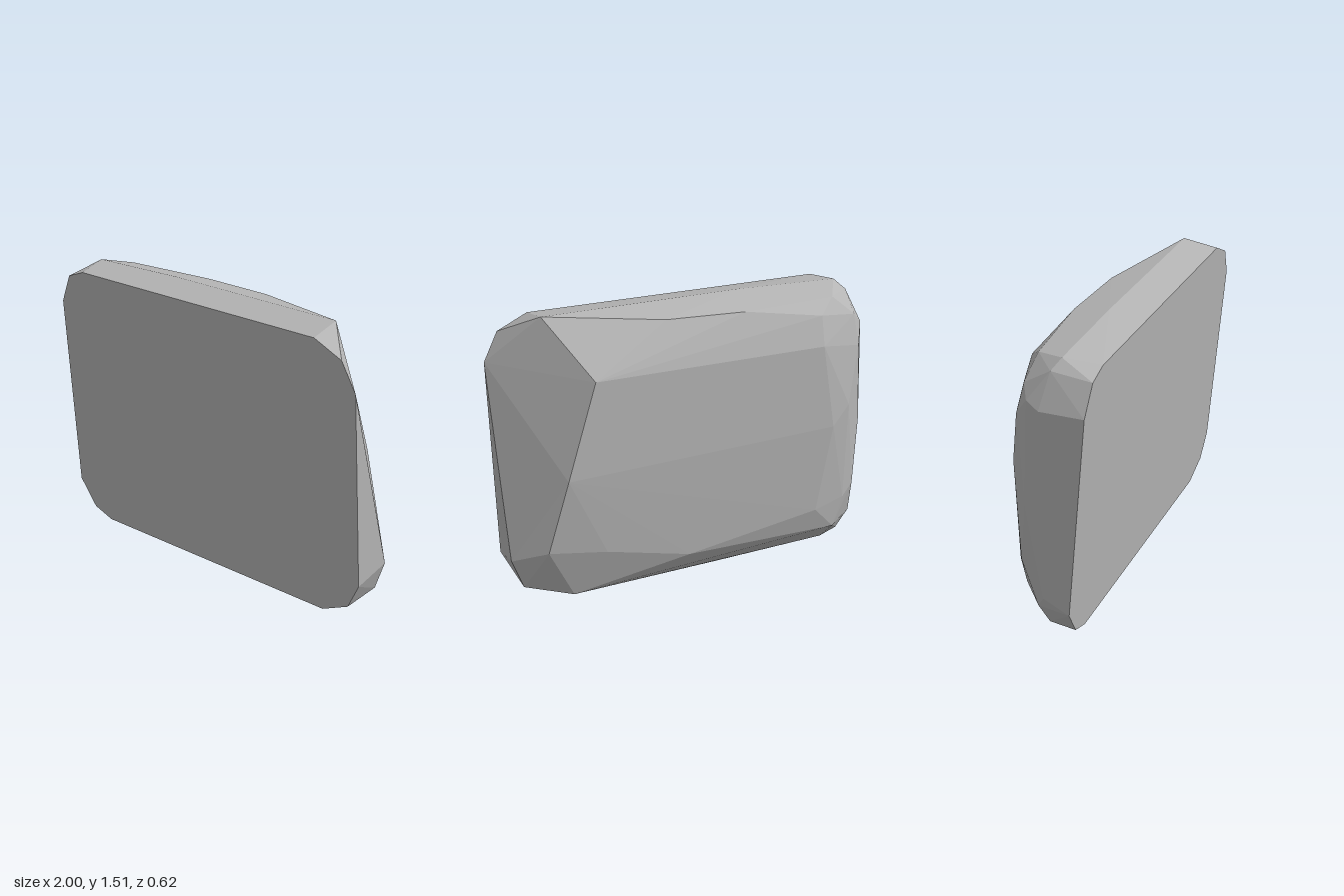
import * as THREE from 'three';
import { ConvexGeometry } from 'three/addons/geometries/ConvexGeometry.js';

const stone = new THREE.MeshStandardMaterial({ color: 0xb4b4b4, flatShading: true });
stone.name = 'stone grey';

// The cut front of the slab is one tilted plane.
const frontZ = (x, y) => 0.115 + 0.0884 * x + 0.083 * y;

// Outline of the flat front, x and y.
const frontOutline = [
  [-1, 0.2], [-0.9, 0.05], [-0.78, 0.005], [0.75, 0.005], [0.91, 0.08], [0.98, 0.22],
  [0.978, 1.25], [0.9, 1.4], [0.74, 1.475], [-0.82, 1.475], [-0.93, 1.435], [-1, 1.28],
];

// Crown: ridge along the top and the slope behind it.
const crown = [
  [0.74, 1.51, 0.12], [-0.3, 1.515, 0.03], [-0.85, 1.5, -0.02],
  [0.17, 1.475, -0.11], [-0.24, 1.467, -0.17], [-0.75, 1.465, -0.17],
  [-0.9, 1.45, -0.06], [-0.65, 1.4, -0.24],
];

// Chipped side at the model's left.
const chippedSide = [
  [0.59, 1.25, -0.187], [0.75, 0.75, -0.19], [0.85, 0.35, -0.14],
  [0.998, 0.27, 0.01], [0.94, 0.11, 0], [0.85, 0.025, 0.1],
];

// Rounded side at the model's right, narrowing towards the back.
const roundedSide = [
  [-0.965, 1.27, -0.1], [-0.93, 1.3, -0.17], [-0.87, 1.36, -0.2],
  [-0.965, 0.25, -0.1], [-0.93, 0.18, -0.14], [-0.93, 0.75, -0.195],
  [-0.88, 1.2, -0.24], [-0.88, 0.4, -0.24], [-0.8, 0.9, -0.295], [-0.8, 0.35, -0.275],
];

// Back face and the undercut below it.
const back = [
  [-0.64, 1.25, -0.288], [-0.7, 0.8, -0.312], [-0.62, 0.32, -0.295],
  [-0.75, 0.18, -0.265], [0.1, 0.2, -0.225], [0.55, 0.31, -0.187],
  [-0.8, 0.01, -0.07], [-0.88, 0.06, -0.1], [-0.18, 0, -0.04], [0.7, 0.05, -0.09],
];

export function createModel() {
  const points = [
    ...frontOutline.map(([x, y]) => new THREE.Vector3(x, y, frontZ(x, y))),
    ...[...crown, ...chippedSide, ...roundedSide, ...back].map((p) => new THREE.Vector3(...p)),
  ];
  const slab = new THREE.Mesh(new ConvexGeometry(points), stone);
  slab.name = 'rockSlab';
  const group = new THREE.Group();
  group.name = 'rock';
  group.add(slab);
  return group;
}
